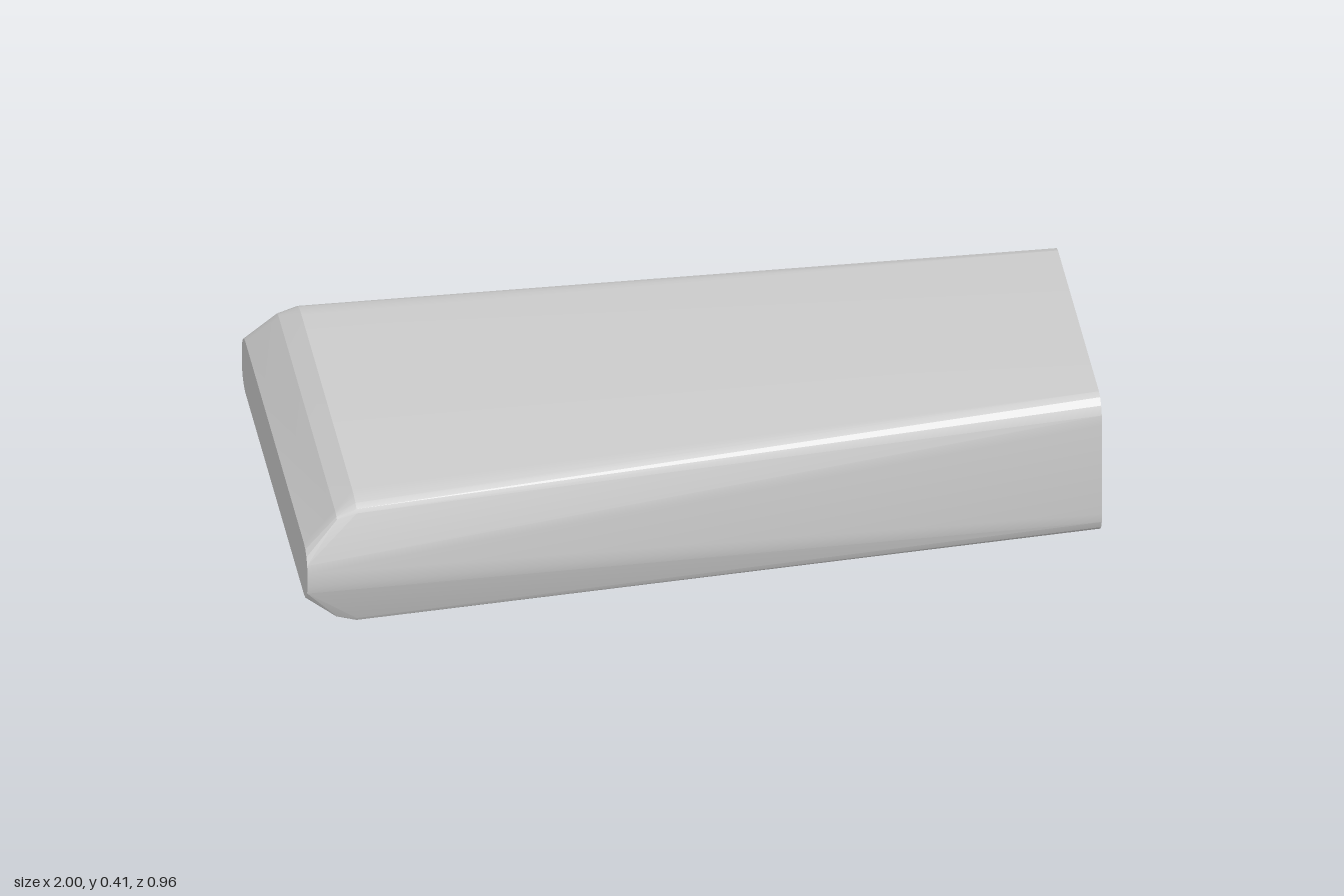
import * as THREE from 'three';
import { ConvexGeometry } from 'three/addons/geometries/ConvexGeometry.js';
import { toCreasedNormals } from 'three/addons/utils/BufferGeometryUtils.js';

const MID_Y = 0.204;
const CORNER_STEPS = 4;

// Cross-section at x: a rectangle with elliptical corners, mirrored into all four quadrants
function section({ x, halfZ, halfY, radiusZ, radiusY }) {
  const points = [];
  for (const sy of [1, -1]) {
    for (const sz of [1, -1]) {
      for (let i = 0; i <= CORNER_STEPS; i++) {
        const a = (i / CORNER_STEPS) * Math.PI / 2;
        const y = halfY - radiusY * (1 - Math.sin(a));
        const z = halfZ - radiusZ * (1 - Math.cos(a));
        points.push(new THREE.Vector3(x, MID_Y + sy * y, sz * z));
      }
    }
  }
  return points;
}

export function createModel() {
  const group = new THREE.Group();

  // Blunt nose, two chamfer sections, then a long taper to the thick end
  const sections = [
    { x: -1.0, halfZ: 0.48, halfY: 0.077, radiusZ: 0.05, radiusY: 0.057 },
    { x: -0.92, halfZ: 0.442, halfY: 0.155, radiusZ: 0.03, radiusY: 0.015 },
    { x: -0.87, halfZ: 0.438, halfY: 0.183, radiusZ: 0.068, radiusY: 0.025 },
    { x: 1.0, halfZ: 0.346, halfY: 0.204, radiusZ: 0.046, radiusY: 0.07 },
  ];

  const geometry = toCreasedNormals(new ConvexGeometry(sections.flatMap(section)), 0.22);
  const body = new THREE.Mesh(geometry, new THREE.MeshStandardMaterial({ color: 0xcccccc }));
  body.name = 'taperedBody';
  group.add(body);
  return group;
}
